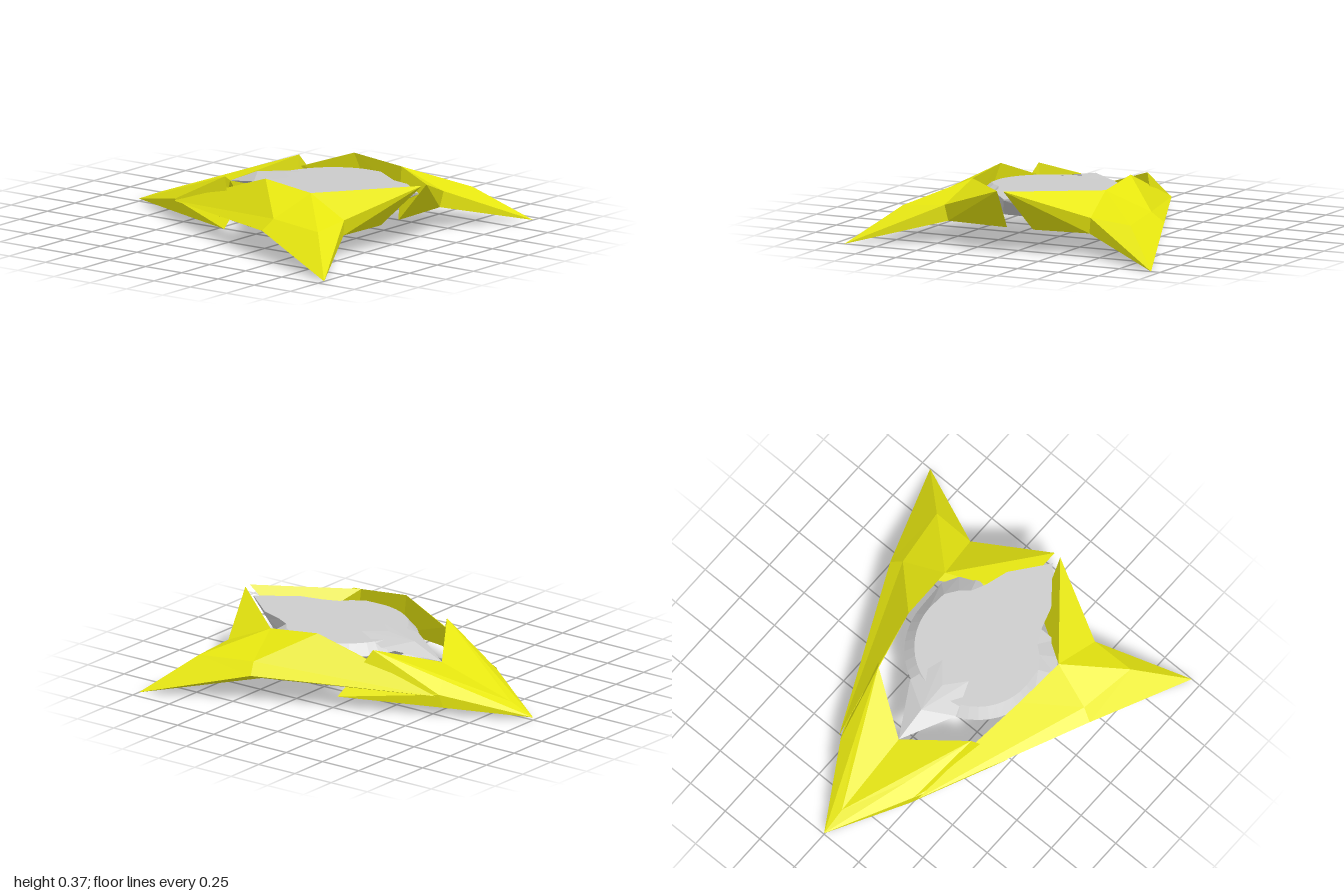
import * as THREE from 'three';

const yellow = new THREE.MeshStandardMaterial({ color: 0xe6e60f, flatShading: true, side: THREE.DoubleSide });
const grey = new THREE.MeshStandardMaterial({ color: 0xcccccc, flatShading: true, side: THREE.DoubleSide });

// Flat-faced mesh from named corners; each face is a string of corner names.
// Faces are turned away from the given middle; mirrored copies negate x.
function facets(name, points, faces, middle, material, mirror = 1) {
  const verts = [];
  const mid = new THREE.Vector3(...middle);
  for (const face of faces) {
    const p = face.split(' ').map(k => new THREE.Vector3(...points[k]));
    for (let i = 1; i + 1 < p.length; i++) {
      const t = [p[0], p[i], p[i + 1]];
      const n = t[1].clone().sub(t[0]).cross(t[2].clone().sub(t[0]));
      const inward = n.dot(t[0].clone().sub(mid)) < 0;
      if (inward !== (mirror < 0)) t.reverse();
      for (const v of t) verts.push(v.x * mirror, v.y, v.z);
    }
  }
  const geo = new THREE.BufferGeometry();
  geo.setAttribute('position', new THREE.Float32BufferAttribute(verts, 3));
  geo.computeVertexNormals();
  const mesh = new THREE.Mesh(geo, material);
  mesh.name = name;
  return mesh;
}

// Side wing: swept blade with an outer tip and a raised front prong
const wing = {
  tip: [0.945, 0, 1], outer: [0.72, 0.16, 0.4], keel: [0.62, 0.12, 0.4],
  shoulder: [0.655, 0.22, 0.43], ridge: [0.7, 0.2, 0.77],
  notch: [0.45, 0.22, 0.76], notchLow: [0.435, 0.13, 0.745],
  prong: [0.02, 0.365, 0.97], prongLow: [0.08, 0.12, 0.73],
  inner: [0.41, 0.33, 0.5], innerLow: [0.46, 0.12, 0.56],
  peak: [0.4, 0.365, 0.18], peakLow: [0.46, 0.12, 0.25],
  rear: [0.345, 0.26, -0.13], rearLow: [0.4, 0.12, -0.1],
  end: [0.285, 0.12, -0.54],
};
const wingFaces = [
  'end outer shoulder', 'end shoulder peak rear', 'shoulder inner peak',
  'outer tip ridge shoulder', 'shoulder ridge inner', 'ridge notch inner', 'notch prong inner',
  'tip notchLow notch ridge', 'notch notchLow prong', 'notchLow prongLow prong',
  'tip outer keel', 'outer end keel', 'tip keel notchLow',
  'keel innerLow prongLow notchLow', 'keel peakLow innerLow', 'keel end rearLow peakLow',
  'inner prong prongLow innerLow', 'peak inner innerLow peakLow',
  'rear peak peakLow rearLow', 'end rear rearLow',
];

// Rear arrowhead, one half: ridged top, horn, low side lobe and a channel below
const arrow = {
  tip: [0, 0.015, -1], crest: [0, 0.075, -0.85], ridge: [0.19, 0.185, -0.52],
  horn: [0.335, 0.32, -0.15], hornLow: [0.33, 0.12, -0.165],
  heart: [0, 0.205, -0.37], heartLow: [0.08, 0.07, -0.345],
  side: [0.265, 0.125, -0.55], keel: [0.25, 0.05, -0.57],
  lobe: [0.5, 0.07, -0.03], lobeTop: [0.43, 0.115, -0.04],
};
const arrowFaces = [
  'tip crest ridge side', 'side ridge horn', 'crest heart horn ridge',
  'side horn lobeTop', 'side lobeTop lobe', 'tip side keel', 'side lobe keel',
  'tip keel heartLow', 'keel lobe heartLow', 'tip heartLow heart',
  'heart horn hornLow heartLow', 'horn lobeTop hornLow', 'hornLow lobeTop lobe heartLow',
];

// Rear spike and crown of the centre body, one half
const crown = {
  tip: [0, 0.205, -0.37], top: [0, 0.285, -0.18], side: [0.165, 0.27, -0.08],
  lobe: [0.095, 0.308, 0.11], mid: [0, 0.305, 0], under: [0, 0.2, -0.07],
};
const crownFaces = ['tip top side', 'top lobe side', 'top mid lobe', 'tip side under'];

// Half outline (x, z) of the centre body: a round rear, then a tail to the beak
function halfOutline(radius, centreZ, tail) {
  const arc = Array.from({ length: 12 }, (_, i) => {
    const a = i / 11 * Math.PI / 2;
    return [radius * Math.sin(a), centreZ - radius * Math.cos(a)];
  });
  return [...arc, ...tail];
}
const plateHalf = halfOutline(0.35, 0.3,
  [[0.34, 0.41], [0.29, 0.48], [0.24, 0.52], [0.2, 0.6], [0.16, 0.73], [0, 0.93]]);
const rimHalf = halfOutline(0.405, 0.3,
  [[0.41, 0.47], [0.36, 0.56], [0.28, 0.62], [0.18, 0.6], [0.14, 0.72], [0, 0.93]]);
const baseHalf = halfOutline(0.35, 0.3,
  [[0.34, 0.41], [0.29, 0.48], [0.24, 0.52], [0.17, 0.58], [0.12, 0.7], [0, 0.93]]);

const closeOutline = half =>
  [...half, ...half.slice(1, -1).reverse().map(([x, z]) => [-x, z])];

// Centre body: plates above and below a wider rim, thinning to a raised beak
function centreBody() {
  const rise = (z, rate) => Math.max(0, z - 0.6) * rate;
  const levels = [
    [baseHalf, z => 0.16 + rise(z, 0.45)],
    [rimHalf, z => 0.23 + rise(z, 0.245)],
    [plateHalf, z => 0.29 + 0.027 * z],
  ];
  const rings = levels.map(([half, y]) => closeOutline(half).map(([x, z]) => [x, y(z), z]));
  const n = rings[0].length;
  const index = [];
  for (let r = 0; r < 2; r++) {
    for (let i = 0; i < n; i++) {
      const a = r * n + i, b = r * n + (i + 1) % n;
      index.push(a, a + n, b, b, a + n, b + n);
    }
  }
  for (const [r, up] of [[0, false], [2, true]]) {
    const flat = rings[r].map(([x, , z]) => new THREE.Vector2(x, z));
    for (const [a, b, c] of THREE.ShapeUtils.triangulateShape(flat, [])) {
      const turn = flat[b].clone().sub(flat[a]).cross(flat[c].clone().sub(flat[a]));
      const [p, q] = (turn > 0) === up ? [c, b] : [b, c];
      index.push(a + r * n, p + r * n, q + r * n);
    }
  }
  const geo = new THREE.BufferGeometry();
  geo.setAttribute('position', new THREE.Float32BufferAttribute(rings.flat(2), 3));
  geo.setIndex(index);
  const sharp = geo.toNonIndexed();
  sharp.computeVertexNormals();
  const mesh = new THREE.Mesh(sharp, grey);
  mesh.name = 'centreBody';
  return mesh;
}

export function createModel() {
  const model = new THREE.Group();
  model.name = 'arrowShip';
  for (const [side, m] of [['left', 1], ['right', -1]]) {
    model.add(facets(side + 'Wing', wing, wingFaces, [0.54, 0.19, 0.4], yellow, m));
    model.add(facets(side + 'RearArrow', arrow, arrowFaces, [0.17, 0.13, -0.45], yellow, m));
    model.add(facets(side + 'Crown', crown, crownFaces, [0, 0.22, -0.1], grey, m));
  }
  model.add(centreBody());
  return model;
}
